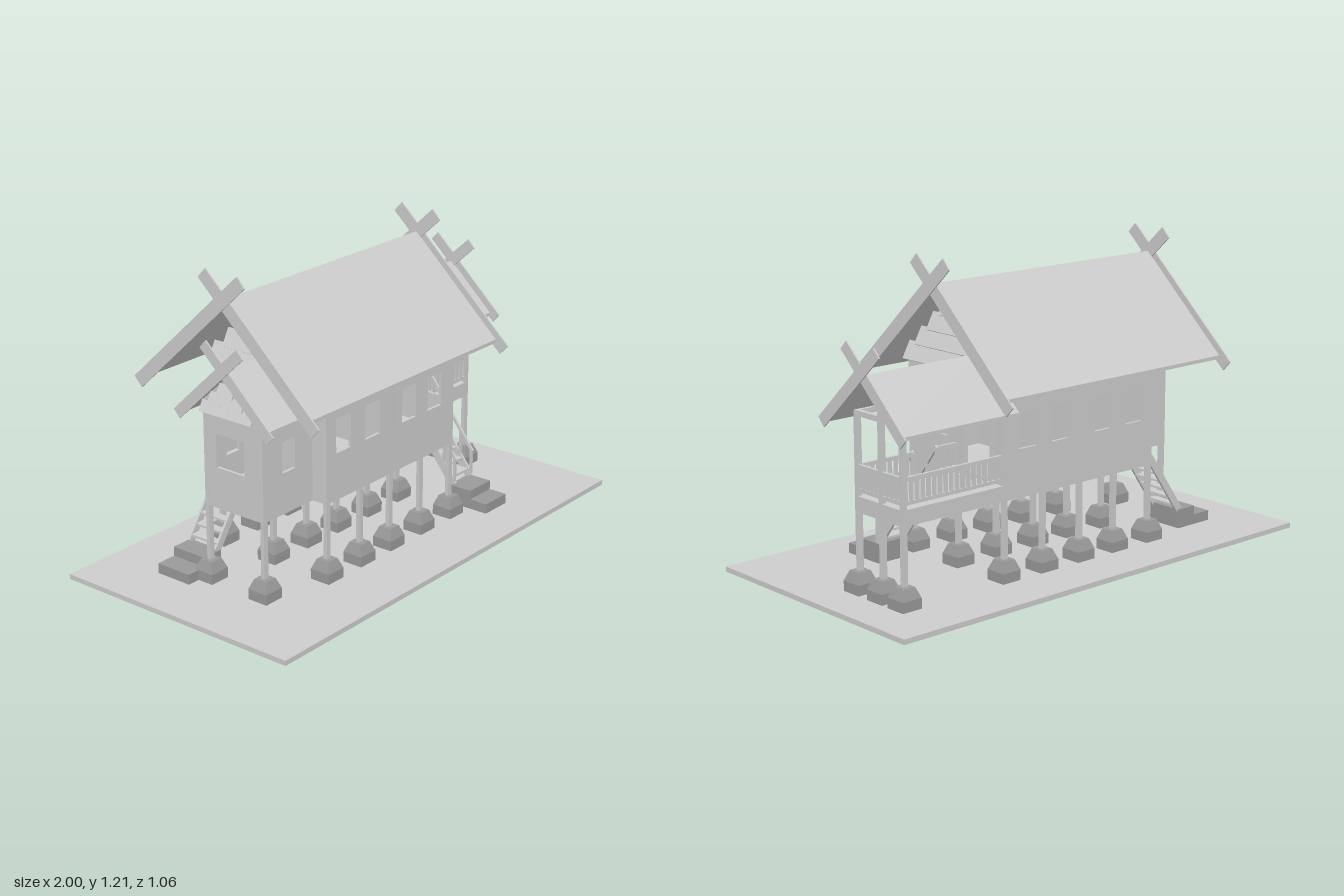
import * as THREE from 'three';

const light = new THREE.MeshStandardMaterial({ color: 0xcccccc });
light.name = 'pale timber';
const dark = new THREE.MeshStandardMaterial({ color: 0x999999 });
dark.name = 'grey stone';

export function createModel() {
  const model = new THREE.Group();
  let parent = model;

  const group = (name) => {
    parent = new THREE.Group();
    parent.name = name;
    model.add(parent);
  };
  const add = (name, geo, mat = light) => {
    const m = new THREE.Mesh(geo, mat);
    m.name = name;
    parent.add(m);
    return m;
  };
  // box given by its limits on each axis
  const box = (name, x0, x1, y0, y1, z0, z1, mat) => {
    const m = add(name, new THREE.BoxGeometry(x1 - x0, y1 - y0, z1 - z0), mat);
    m.position.set((x0 + x1) / 2, (y0 + y1) / 2, (z0 + z1) / 2);
    return m;
  };
  // bar between two points; h is its depth, w its sideways width
  const bar = (name, a, b, w, h) => {
    const p = new THREE.Vector3(...a), q = new THREE.Vector3(...b);
    const m = add(name, new THREE.BoxGeometry(w, h, p.distanceTo(q)));
    m.position.copy(p).add(q).multiplyScalar(0.5);
    m.lookAt(q);
    return m;
  };
  // flat wall from an outline, with rectangular openings [u0, u1, y0, y1]
  const T = 0.012;
  const wallGeo = (outline, holes) => {
    const s = new THREE.Shape(outline.map((p) => new THREE.Vector2(...p)));
    for (const [a, b, c, d] of holes) {
      s.holes.push(new THREE.Path([[a, c], [a, d], [b, d], [b, c]].map((p) => new THREE.Vector2(...p))));
    }
    return new THREE.ExtrudeGeometry(s, { depth: T, bevelEnabled: false });
  };
  const longWall = (name, z, x0, x1, y1, holes) => {
    add(name, wallGeo([[x0, 0.32], [x1, 0.32], [x1, y1], [x0, y1]], holes)).position.z = z;
  };
  const endWall = (name, x, z0, z1, y1, peak, holes) => {
    const m = add(name, wallGeo([[z0, 0.32], [z1, 0.32], [z1, y1], [(z0 + z1) / 2, peak], [z0, y1]], holes));
    m.rotation.y = -Math.PI / 2;
    m.position.x = x;
  };
  // gabled roof of two slabs
  const roof = (name, x0, x1, zc, half, ridge, eave) => {
    const t = 0.014;
    const s = new THREE.Shape([[-half, eave], [0, ridge], [half, eave], [half, eave - t],
      [0, ridge - t], [-half, eave - t]].reverse().map((p) => new THREE.Vector2(...p)));
    const m = add(name, new THREE.ExtrudeGeometry(s, { depth: x1 - x0, bevelEnabled: false }));
    m.rotation.y = Math.PI / 2;
    m.position.set(x0, 0, zc);
  };
  // crossed boards at a gable end
  const crossedBoards = (x, zc, yc, slope, down, up, h) => {
    for (const s of [-1, 1]) {
      bar('crossedGableBoard', [x + s * 0.003, yc - down * slope, zc + s * down],
        [x + s * 0.003, yc + up * slope, zc - s * up], 0.006, h);
    }
  };
  // tilted boards filling a gable
  const louvres = (x, side, zc, ridge, slope, y0, step, n) => {
    for (let i = 0; i < n; i++) {
      const y = y0 + i * step;
      const half = (ridge - y - step) / slope - 0.015;
      const m = add('gableLouvre', new THREE.BoxGeometry(0.008, step * 1.15, half * 2));
      m.position.set(x + side * 0.03, y + step / 2, zc);
      m.rotation.z = side * 0.5;
    }
  };
  // footing with a post on it
  const post = (x, z, top) => {
    const foot = new THREE.CylinderGeometry(0.027 * Math.SQRT2, 0.043 * Math.SQRT2, 0.04, 4);
    foot.rotateY(Math.PI / 4);
    add('footingTop', foot.toNonIndexed(), dark).position.set(x, 0.08, z);
    foot.attributes.normal && parent.children.at(-1).geometry.computeVertexNormals();
    box('footingBase', x - 0.043, x + 0.043, 0.02, 0.06, z - 0.043, z + 0.043, dark);
    box('post', x - 0.011, x + 0.011, 0.09, top, z - 0.008, z + 0.008);
  };

  group('ground');
  box('groundSlab', -1, 1, 0, 0.02, -0.53, 0.53);

  group('postsAndFootings');
  for (const x of [-0.42, -0.23, -0.05, 0.14, 0.33]) {
    for (const z of [0.232, -0.03, -0.287]) post(x, z, z === -0.03 ? 0.33 : 0.75);
  }
  for (const z of [0.165, -0.1]) post(-0.69, z, 0.69);
  for (const z of [-0.035, -0.17, -0.287]) post(0.8, z, z === -0.17 ? 0.84 : 0.69);

  // main house
  group('mainHouse');
  const windows = [[-0.375, -0.29], [-0.205, -0.12], [0.015, 0.1], [0.175, 0.262]]
    .map(([a, b]) => [a, b, 0.505, 0.64]);
  longWall('frontWall', 0.228, -0.43, 0.34, 0.82, windows);
  longWall('backWall', -0.295, -0.43, 0.34, 0.82, windows);
  endWall('leftWall', 0.34, -0.295, 0.24, 0.8, 1.06,
    [[0.02, 0.19, 0.51, 0.72], [-0.235, -0.085, 0.39, 0.62]]);
  endWall('rightWall', -0.418, -0.295, 0.24, 0.8, 1.06, [[-0.26, -0.14, 0.385, 0.62]]);
  box('floor', -0.42, 0.33, 0.33, 0.38, -0.285, 0.23);
  box('partition', -0.011, 0.001, 0.38, 0.76, -0.297, 0.242);
  for (const [a] of windows) {
    for (const z of [0.185, -0.24]) box('openShutter', a - 0.004, a + 0.008, 0.505, 0.64, z - 0.042, z + 0.042);
  }
  for (const z of [-0.24, -0.08]) box('doorPost', 0.335, 0.353, 0.38, 0.625, z - 0.006, z + 0.006);
  box('doorHead', 0.335, 0.353, 0.615, 0.627, -0.246, -0.074);
  roof('mainRoof', -0.66, 0.46, -0.04, 0.39, 1.105, 0.742);
  crossedBoards(0.464, -0.04, 1.1, 0.93, 0.425, 0.095, 0.052);
  crossedBoards(-0.664, -0.04, 1.1, 0.93, 0.425, 0.095, 0.052);
  louvres(0.34, 1, -0.035, 1.09, 0.93, 0.78, 0.065, 4);
  louvres(-0.43, -1, -0.035, 1.09, 0.93, 0.78, 0.065, 4);

  // small side room
  group('sideRoom');
  longWall('sideRoomFront', 0.16, -0.7, -0.43, 0.74, [[-0.595, -0.525, 0.48, 0.6]]);
  longWall('sideRoomBack', -0.11, -0.7, -0.43, 0.74, [[-0.595, -0.525, 0.48, 0.6]]);
  endWall('sideRoomEnd', -0.688, -0.11, 0.172, 0.73, 0.855, [[-0.05, 0.085, 0.48, 0.61]]);
  box('sideRoomFloor', -0.69, -0.43, 0.33, 0.38, -0.1, 0.162);
  roof('sideRoof', -0.75, -0.42, 0.035, 0.195, 0.88, 0.695);
  crossedBoards(-0.752, 0.035, 0.88, 0.94, 0.22, 0.09, 0.042);
  louvres(-0.7, -1, 0.033, 0.87, 0.94, 0.7, 0.04, 3);

  // porch
  group('porch');
  box('porchFloor', 0.34, 0.81, 0.32, 0.38, -0.295, -0.027);
  for (const z of [-0.035, -0.287]) box('porchBeam', 0.34, 0.81, 0.675, 0.695, z - 0.008, z + 0.008);
  box('porchEndBeam', 0.79, 0.81, 0.675, 0.695, -0.295, -0.027);
  roof('porchRoof', 0.34, 0.89, -0.18, 0.2, 0.856, 0.67);
  crossedBoards(0.89, -0.175, 0.86, 0.93, 0.225, 0.095, 0.045);

  // railing between two floor points
  const rail = (xa, za, xb, zb) => {
    const len = Math.hypot(xb - xa, zb - za), n = Math.round(len / 0.026);
    for (const y of [0.402, 0.489]) bar('rail', [xa, y, za], [xb, y, zb], 0.012, 0.014);
    for (let i = 0; i <= n; i++) {
      const x = xa + (xb - xa) * i / n, z = za + (zb - za) * i / n;
      box('baluster', x - 0.006, x + 0.006, 0.4, 0.49, z - 0.006, z + 0.006);
    }
  };
  group('railing');
  rail(0.345, -0.035, 0.43, -0.035);
  rail(0.55, -0.035, 0.79, -0.035);
  rail(0.345, -0.287, 0.79, -0.287);
  rail(0.8, -0.045, 0.8, -0.165);
  rail(0.8, -0.175, 0.8, -0.28);

  // porch stairs
  group('porchStairs');
  box('lowerStep', 0.42, 0.555, 0.02, 0.06, 0.17, 0.353, dark);
  box('upperStep', 0.42, 0.555, 0.06, 0.097, 0.17, 0.275, dark);
  for (const x of [0.435, 0.547]) {
    bar('stringer', [x, 0.095, 0.18], [x, 0.37, -0.03], 0.01, 0.035);
    bar('handrail', [x, 0.205, 0.19], [x, 0.495, -0.032], 0.01, 0.012);
    for (let i = 0; i < 5; i++) {
      const z = 0.185 - i * 0.054, y = 0.1 + i * 0.068;
      box('handrailPost', x - 0.005, x + 0.005, y, y + 0.115, z - 0.005, z + 0.005);
    }
  }
  for (let i = 0; i < 7; i++) {
    const y = 0.125 + i * 0.04, z = 0.157 - i * 0.0305;
    box('tread', 0.435, 0.547, y - 0.004, y + 0.004, z - 0.02, z + 0.02);
  }

  // stairs to the back door
  group('backStairs');
  box('lowerStep', -0.785, -0.61, 0.02, 0.06, -0.28, -0.16 + 0.035, dark);
  box('upperStep', -0.7, -0.61, 0.06, 0.097, -0.28, -0.125, dark);
  for (const z of [-0.135, -0.268]) bar('stringer', [-0.62, 0.095, z], [-0.435, 0.36, z], 0.01, 0.03);
  for (let i = 0; i < 7; i++) {
    const y = 0.12 + i * 0.037, x = -0.603 + i * 0.026;
    box('tread', x - 0.018, x + 0.018, y - 0.004, y + 0.004, -0.268, -0.135);
  }

  return model;
}
